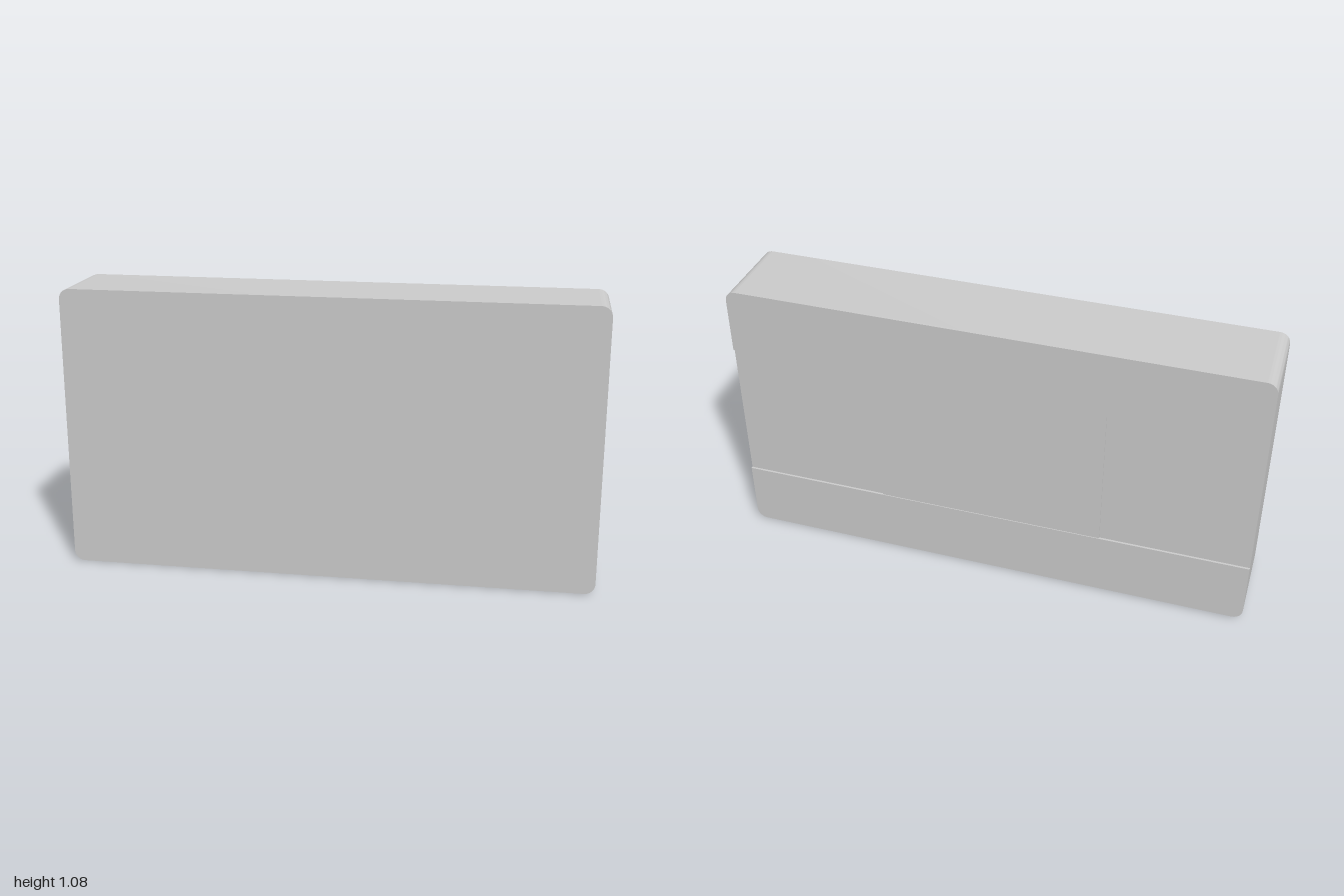
import * as THREE from 'three';
import { toCreasedNormals } from 'three/addons/utils/BufferGeometryUtils.js';

const W = 1, H = 1.075, R = 0.04;          // half width, height, corner radius
const FRONT = 0.161, BACK = -0.161;        // outer faces
const PAD = -0.1577, FLOOR = -0.1525;      // shallow centre face, deeper end recesses
const LOW = 0.253, HIGH = 0.82;            // edges of the channel across the back
const INNER = 0.435;                       // half width of the centre pad

const material = new THREE.MeshStandardMaterial({ color: 0xcccccc });

// Rectangle from y0 to y1 with its own radius at the bottom and top corners
function plate(y0, y1, rBottom, rTop) {
  const s = new THREE.Shape();
  s.moveTo(-W + rBottom, y0);
  s.lineTo(W - rBottom, y0);
  if (rBottom) s.absarc(W - rBottom, y0 + rBottom, rBottom, -Math.PI / 2, 0);
  s.lineTo(W, y1 - rTop);
  if (rTop) s.absarc(W - rTop, y1 - rTop, rTop, 0, Math.PI / 2);
  s.lineTo(-W + rTop, y1);
  if (rTop) s.absarc(-W + rTop, y1 - rTop, rTop, Math.PI / 2, Math.PI);
  s.lineTo(-W, y0 + rBottom);
  if (rBottom) s.absarc(-W + rBottom, y0 + rBottom, rBottom, Math.PI, Math.PI * 1.5);
  return s;
}

function slab(name, shape, z0, z1) {
  const geometry = new THREE.ExtrudeGeometry(shape, { depth: z1 - z0, bevelEnabled: false, curveSegments: 10 });
  geometry.translate(0, 0, z0);
  const mesh = new THREE.Mesh(toCreasedNormals(geometry, 0.6), material);
  mesh.name = name;
  return mesh;
}

export function createModel() {
  const group = new THREE.Group();
  group.name = 'block';

  // Main block, its back face forming the floor of the end recesses
  group.add(slab('body', plate(0, H, R, R), FLOOR, FRONT));

  // Raised strips above and below the channel
  group.add(slab('lowerBackStrip', plate(0, LOW, R, 0), BACK, FLOOR));
  group.add(slab('upperBackStrip', plate(HIGH, H, 0, R), BACK, FLOOR));

  // Centre pad, set slightly below the strips
  const pad = new THREE.Mesh(new THREE.BoxGeometry(INNER * 2, HIGH - LOW, FLOOR - PAD), material);
  pad.name = 'centrePad';
  pad.position.set(0, (LOW + HIGH) / 2, (FLOOR + PAD) / 2);
  group.add(pad);

  return group;
}
